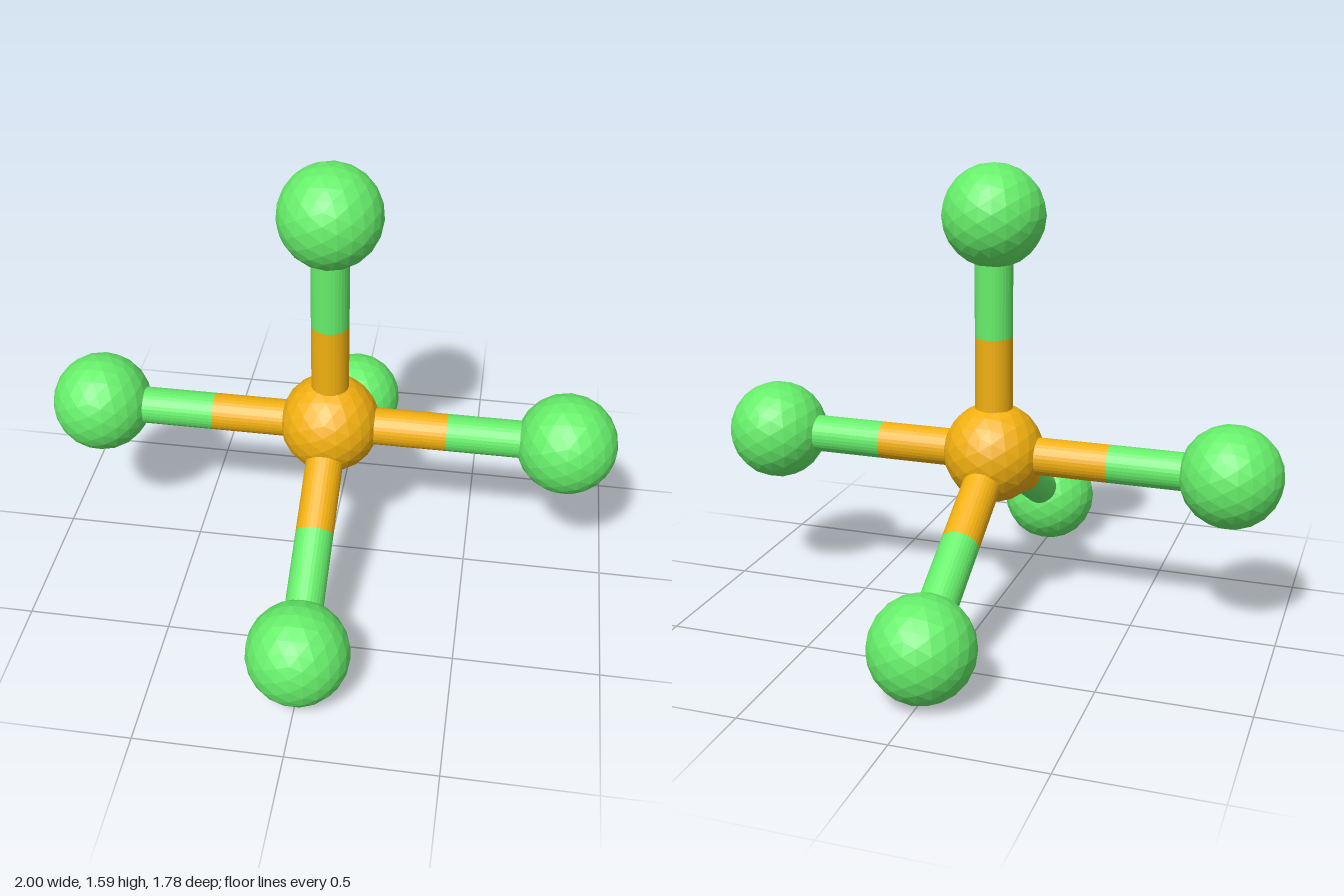
import * as THREE from 'three';

const BALL = 0.175, ROD = 0.065, REACH = 0.825;
const CENTRE = new THREE.Vector3(0, BALL + REACH / 2, 0);

export function createModel() {
  const model = new THREE.Group();
  const green = new THREE.MeshStandardMaterial({ color: 0x66ee6a, flatShading: true });
  const orange = new THREE.MeshStandardMaterial({ color: 0xf2b010, flatShading: true });

  const ballGeometry = new THREE.IcosahedronGeometry(BALL, 3);
  const rodGeometry = new THREE.CylinderGeometry(ROD, ROD, REACH / 2, 32, 1, true);

  const add = (parent, name, geometry, material, y) => {
    const mesh = new THREE.Mesh(geometry, material);
    mesh.name = name;
    mesh.position.y = y;
    parent.add(mesh);
  };

  // Central ball
  add(model, 'centreBall', ballGeometry, orange, CENTRE.y);

  // Each arm is built along +y, then turned to its direction
  const addArm = (name, x, y, z) => {
    const arm = new THREE.Group();
    arm.name = name;
    add(arm, 'innerRod', rodGeometry, orange, REACH * 0.25);
    add(arm, 'outerRod', rodGeometry, green, REACH * 0.75);
    add(arm, 'outerBall', ballGeometry, green, REACH);
    // Keep the ball facets aligned with the central ball
    const direction = new THREE.Vector3(x, y, z).normalize();
    arm.quaternion.setFromUnitVectors(new THREE.Vector3(0, 1, 0), direction);
    arm.children[2].quaternion.copy(arm.quaternion).invert();
    arm.position.copy(CENTRE);
    model.add(arm);
  };

  // Two arms along the axis, three spread evenly around it
  addArm('leftArm', 1, 0, 0);
  addArm('rightArm', -1, 0, 0);
  ['topArm', 'frontArm', 'backArm'].forEach((name, i) => {
    const a = (i * 2 * Math.PI) / 3;
    addArm(name, 0, Math.cos(a), Math.sin(a));
  });

  return model;
}
